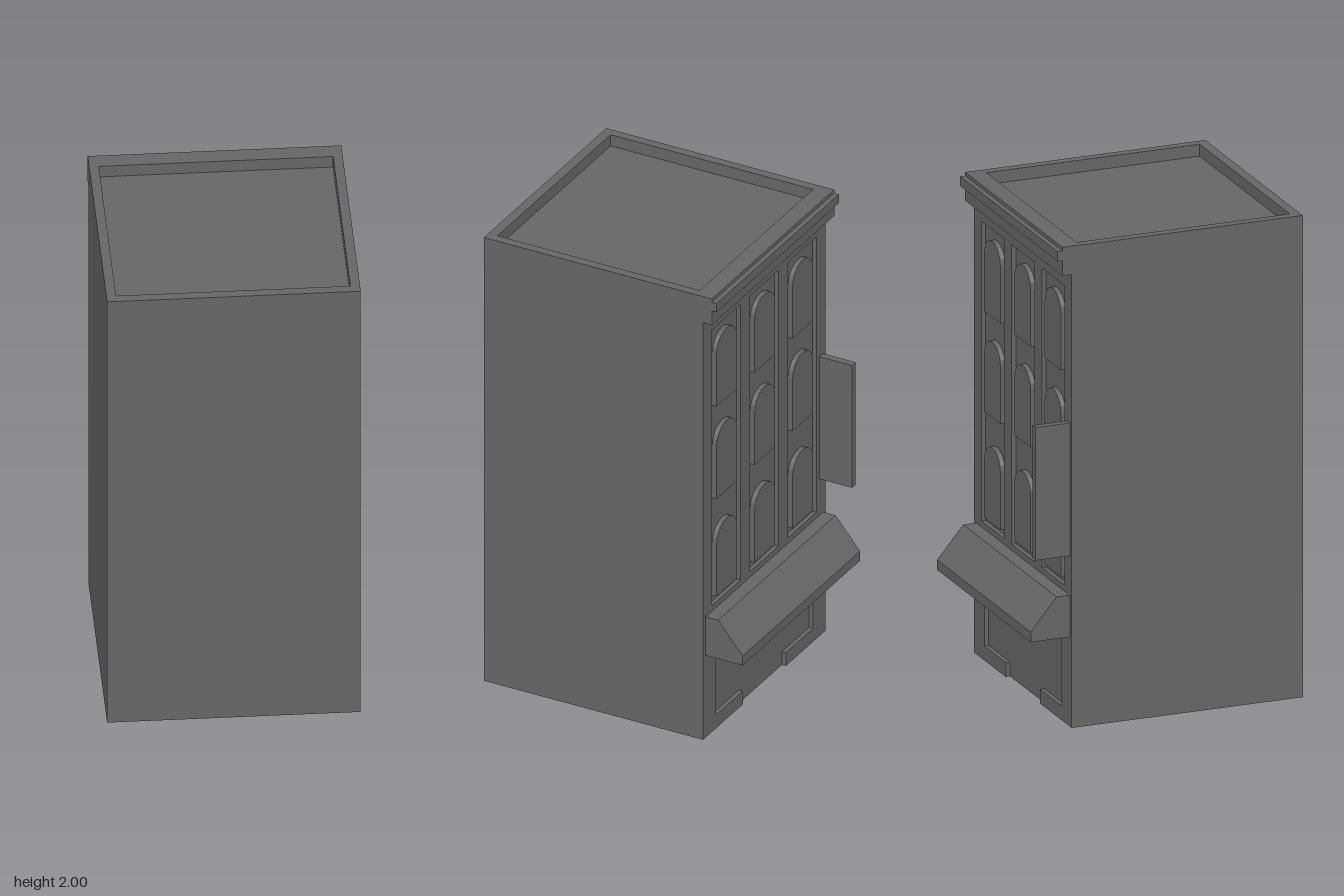
import * as THREE from 'three';

const FACADE = -0.409, BACK = 0.575, RECESS = 0.018, ROOF = 1.95;
const darkGrey = new THREE.MeshStandardMaterial({ color: 0x666666, flatShading: true, side: THREE.DoubleSide });

function add(parent, name, geometry, x = 0, y = 0, z = 0) {
  const mesh = new THREE.Mesh(geometry, darkGrey);
  mesh.name = name;
  mesh.position.set(x, y, z);
  parent.add(mesh);
  return mesh;
}

const polygon = (points) => new THREE.Shape(points.map(([x, y]) => new THREE.Vector2(x, y)));
const rect = (x0, y0, x1, y1) => polygon([[x0, y0], [x1, y0], [x1, y1], [x0, y1]]);
const extrude = (shape, depth) =>
  new THREE.ExtrudeGeometry(shape, { depth, bevelEnabled: false, curveSegments: 5 });

// Profile of [z, y] points drawn out along x, centred on x = 0
function molding(points, width) {
  const shape = polygon(points.map(([z, y]) => [-z, y]));
  return extrude(shape, width).rotateY(Math.PI / 2).translate(-width / 2, 0, 0);
}

// Flat-bottomed panel with an arched top
function archedPanel(width, height, rise, depth) {
  const r = width / 2, shape = new THREE.Shape();
  shape.moveTo(-r, 0);
  shape.lineTo(r, 0);
  shape.lineTo(r, height - rise);
  shape.absellipse(0, height - rise, r, rise, 0, Math.PI, false);
  shape.lineTo(-r, 0);
  return extrude(shape, depth);
}

// Box shell without its bottom face
function openBottomBox(width, height, depth) {
  const box = new THREE.BoxGeometry(width, height, depth);
  const index = Array.from(box.index.array);
  index.splice(18, 6);
  box.setIndex(index);
  box.clearGroups();
  return box;
}

export function createModel() {
  const model = new THREE.Group();
  model.name = 'building';

  // Hollow main block behind the facade, open underneath
  const innerZ = FACADE + RECESS;
  add(model, 'body', openBottomBox(1, ROOF, BACK - innerZ), 0, ROOF / 2, (BACK + innerZ) / 2);

  // Facade skin: shopfront and doorway cut from the bottom, three tall window bays
  const skin = polygon([
    [-0.5, 0], [-0.175, 0], [-0.175, 0.06], [-0.397, 0.06], [-0.397, 0.335],
    [0.397, 0.335], [0.397, 0.06], [0.175, 0.06], [0.175, 0], [0.5, 0], [0.5, ROOF], [-0.5, ROOF],
  ]);
  const bays = [-0.31, 0, 0.31];
  for (const x of bays) skin.holes.push(rect(x - 0.116, 0.57, x + 0.116, 1.814));
  add(model, 'facade', extrude(skin, RECESS), 0, 0, FACADE);

  // Raised arched windows in each bay
  const windows = new THREE.Group();
  windows.name = 'windows';
  model.add(windows);
  const windowGeometry = archedPanel(0.166, 0.315, 0.075, 0.02);
  for (const x of bays)
    for (const y of [0.595, 1.035, 1.452]) add(windows, 'window', windowGeometry, x, y, innerZ - 0.02);

  // Parapet around the sunken roof
  const rim = rect(-0.5, -BACK, 0.5, -FACADE);
  rim.holes.push(rect(-0.462, -0.535, 0.462, 0.373));
  add(model, 'parapet', extrude(rim, 2 - ROOF).rotateX(-Math.PI / 2), 0, ROOF, 0);

  // Stepped cornice
  add(model, 'cornice', molding([
    [FACADE, 1.882], [-0.448, 1.882], [-0.448, 1.945], [-0.469, 1.945],
    [-0.469, 1.985], [-0.448, 1.985], [-0.448, 2], [FACADE, 2],
  ], 1));

  // Sloped awning over the shopfront
  add(model, 'awning', molding([
    [FACADE, 0.371], [-0.575, 0.371], [-0.575, 0.413], [-0.465, 0.545], [FACADE, 0.545],
  ], 0.96));

  // Blank projecting sign board
  add(model, 'signBoard', new THREE.BoxGeometry(0.03, 0.552, 0.146), -0.465, 0.984, FACADE - 0.073);

  return model;
}
